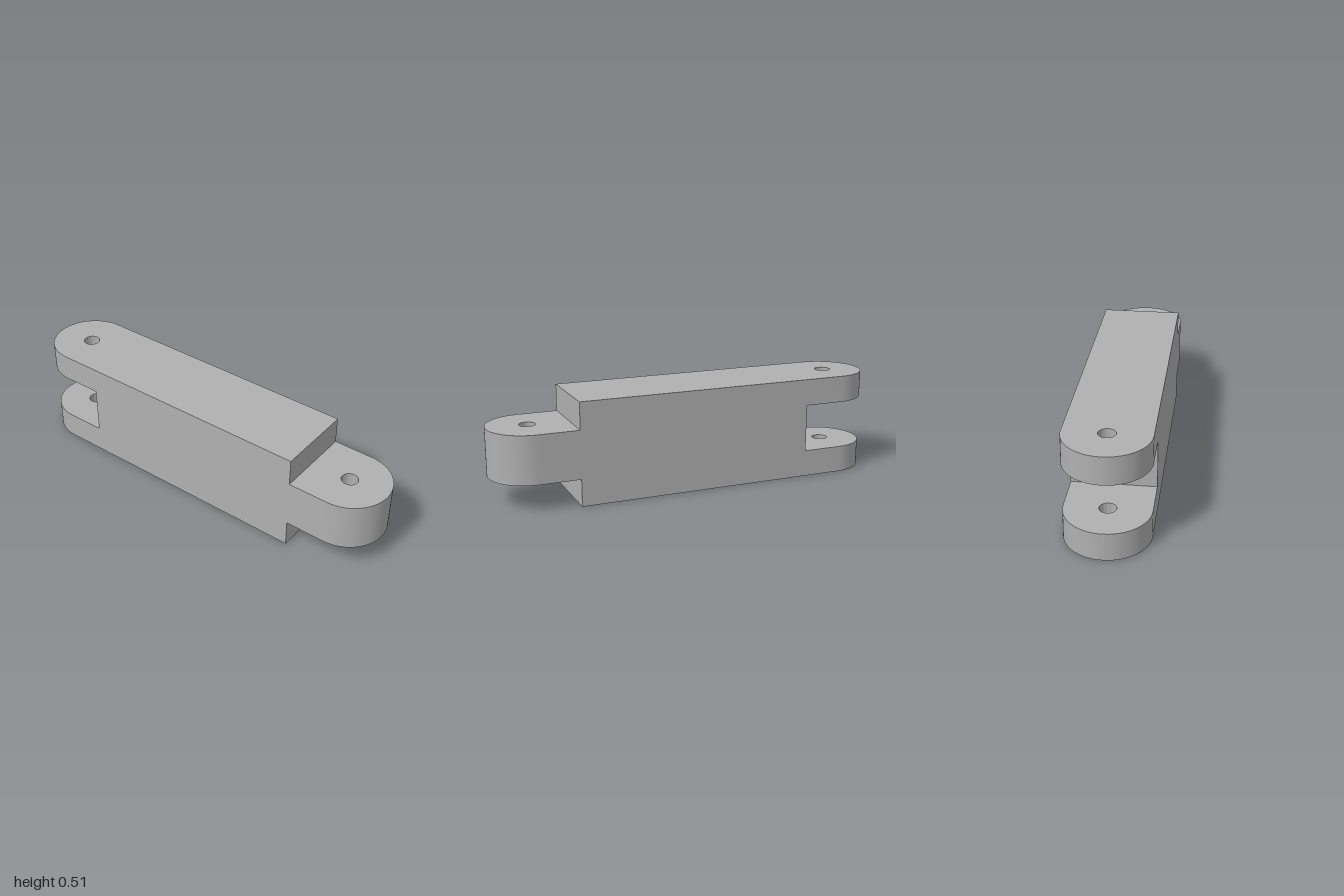
import * as THREE from 'three';
import { toCreasedNormals } from 'three/addons/utils/BufferGeometryUtils.js';

const HALF_WIDTH = 0.2, HEIGHT = 0.51, SHOULDER = 0.6, PIN_X = 0.8, PIN_RADIUS = 0.04;
const LOW = 0.135, HIGH = 0.375; // slot and tongue heights

// Round-ended lug with a pin hole, reaching out from the shoulder along +x
function lugGeometry(y0, y1) {
  const shape = new THREE.Shape();
  shape.moveTo(SHOULDER, -HALF_WIDTH);
  shape.lineTo(PIN_X, -HALF_WIDTH);
  shape.absarc(PIN_X, 0, HALF_WIDTH, -Math.PI / 2, Math.PI / 2, false);
  shape.lineTo(SHOULDER, HALF_WIDTH);
  shape.closePath();
  const hole = new THREE.Path();
  hole.absarc(PIN_X, 0, PIN_RADIUS, 0, Math.PI * 2, true);
  shape.holes.push(hole);
  const geometry = new THREE.ExtrudeGeometry(shape, { depth: y1 - y0, bevelEnabled: false, curveSegments: 32 });
  geometry.rotateX(-Math.PI / 2);
  geometry.translate(0, y0, 0);
  return toCreasedNormals(geometry, Math.PI / 5);
}

export function createModel() {
  const model = new THREE.Group();
  model.name = 'linkArm';
  const metal = new THREE.MeshStandardMaterial({ color: 0xb0b0b0 });
  metal.name = 'grey metal';

  const add = (name, geometry) => {
    const mesh = new THREE.Mesh(geometry, metal);
    mesh.name = name;
    model.add(mesh);
  };

  // Solid bar between the two joints
  const body = new THREE.BoxGeometry(SHOULDER * 2, HEIGHT, HALF_WIDTH * 2);
  add('body', body.translate(0, HEIGHT / 2, 0));

  // Single tongue on the +x end
  add('tongue', lugGeometry(LOW, HIGH));

  // Pair of fork lugs on the -x end
  add('lowerForkLug', lugGeometry(0, LOW).rotateY(Math.PI));
  add('upperForkLug', lugGeometry(HIGH, HEIGHT).rotateY(Math.PI));

  return model;
}
